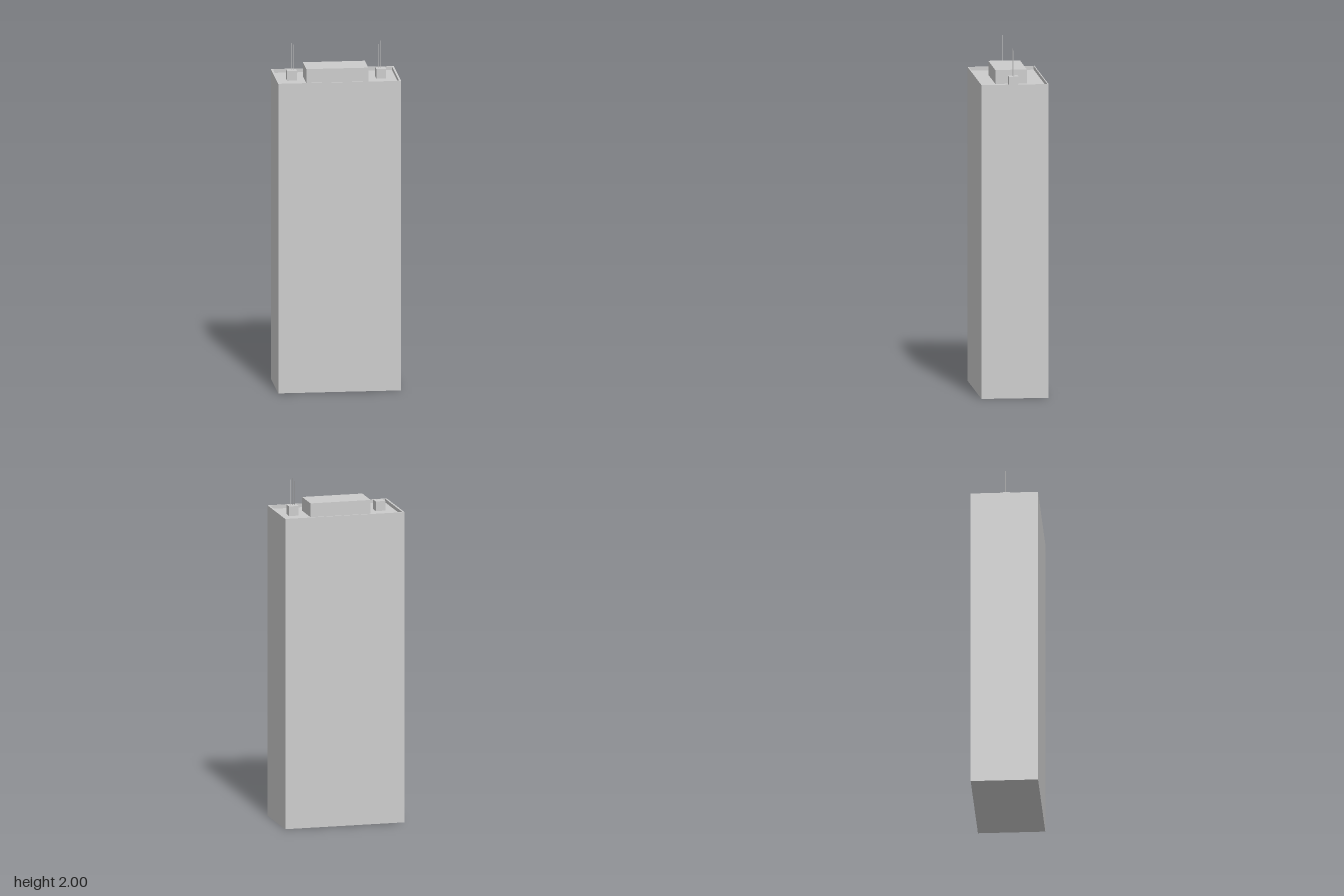
import * as THREE from 'three';

export function createModel() {
  const model = new THREE.Group();
  const material = new THREE.MeshStandardMaterial({ color: 0xcccccc, flatShading: true });
  const W = 0.704, D = 0.384, ROOF = 1.785, TOP = 1.806;

  const add = (name, geometry, x, y, z, parent = model) => {
    const mesh = new THREE.Mesh(geometry, material);
    mesh.name = name;
    mesh.position.set(x, y, z);
    parent.add(mesh);
    return mesh;
  };
  // Box standing on the height y
  const box = (name, w, h, d, x, y, z, parent) =>
    add(name, new THREE.BoxGeometry(w, h, d), x, y + h / 2, z, parent);
  const rectangle = (Type, w, d) => new Type([
    new THREE.Vector2(-w / 2, -d / 2), new THREE.Vector2(w / 2, -d / 2),
    new THREE.Vector2(w / 2, d / 2), new THREE.Vector2(-w / 2, d / 2),
  ]);

  // Tower block up to the roof deck
  box('tower', W, ROOF, D, 0, 0, 0);

  // Thin parapet around the sunken roof
  const ring = rectangle(THREE.Shape, W, D);
  ring.holes.push(rectangle(THREE.Path, 0.682, 0.372));
  const parapet = new THREE.ExtrudeGeometry(ring, { depth: TOP - ROOF, bevelEnabled: false });
  parapet.rotateX(-Math.PI / 2);
  add('parapet', parapet, 0, ROOF, 0);

  // Rooftop plant room
  box('plantRoom', 0.355, 0.08, 0.181, -0.003, ROOF, 0.002);

  // Antenna bases, each with three thin masts
  const mastTops = [1.98, 2.0, 1.99];
  for (const [side, x] of [['right', -0.255], ['left', 0.256]]) {
    const station = new THREE.Group();
    station.name = `${side}AntennaStation`;
    box('antennaBase', 0.056, 0.056, 0.056, x, ROOF, -0.001, station);
    mastTops.forEach((top, i) => {
      const h = top - 1.84;
      add('antennaMast', new THREE.CylinderGeometry(0.0012, 0.0012, h, 6),
        x - 0.002 + (i - 1) * 0.012, 1.84 + h / 2, 0.001, station);
    });
    model.add(station);
  }
  return model;
}
